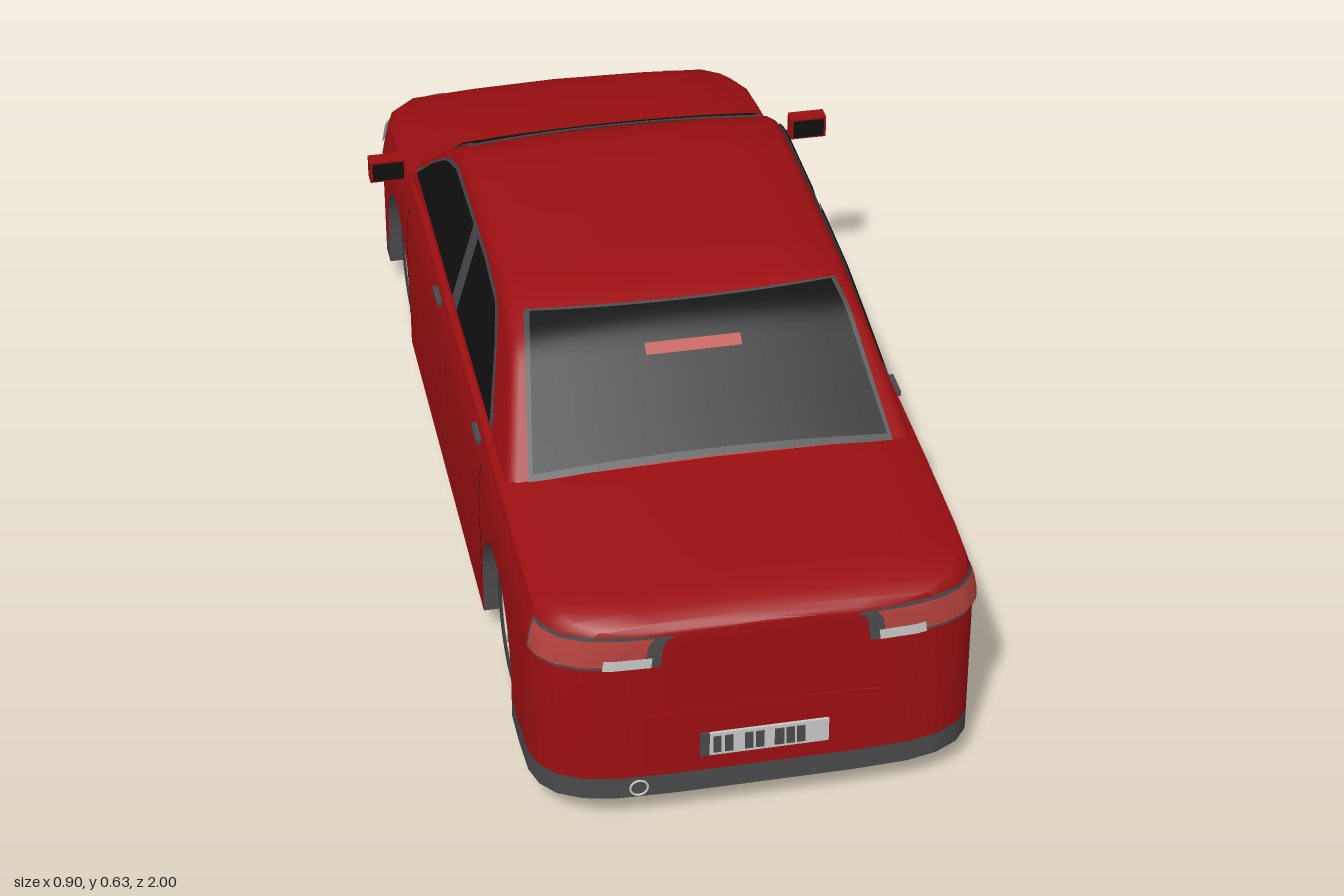
import * as THREE from 'three';
import { toCreasedNormals } from 'three/addons/utils/BufferGeometryUtils.js';

const paint = (name, color, side = THREE.DoubleSide) => {
  const m = new THREE.MeshStandardMaterial({ color, side });
  m.name = name;
  return m;
};

// linear lookup in a table of [position, value] pairs with rising positions
function look(table, t) {
  if (t <= table[0][0]) return table[0][1];
  for (let i = 1; i < table.length; i++) {
    const [a, p] = table[i - 1], [b, q] = table[i];
    if (t <= b) return p + (q - p) * (t - a) / (b - a);
  }
  return table[table.length - 1][1];
}
const lerp = THREE.MathUtils.lerp;

// plan half-width, deck height, shoulder rounding, roof line, side window top line
const WIDTH = [[-0.998, 0.12], [-0.993, 0.2], [-0.982, 0.25], [-0.96, 0.3], [-0.93, 0.335], [-0.88, 0.367], [-0.8, 0.384],
  [0.8, 0.385], [0.88, 0.382], [0.92, 0.37], [0.95, 0.346], [0.972, 0.305], [0.984, 0.25], [0.988, 0.15]];
const DECK = [[-0.998, 0.27], [-0.99, 0.29], [-0.975, 0.318], [-0.93, 0.342], [-0.88, 0.357], [-0.8, 0.375], [-0.7, 0.392],
  [-0.55, 0.412], [-0.4, 0.43], [0.6, 0.435], [0.9, 0.43], [0.95, 0.424], [0.975, 0.414], [0.988, 0.402]];
const SHOULDER = [[0, 0.6], [0.006, 0.9], [0.02, 0.96], [0.05, 0.985], [0.08, 1]];
const ROOF = [[-0.57, 0.4], [-0.45, 0.495], [-0.35, 0.57], [-0.26, 0.613], [-0.15, 0.625], [0, 0.627], [0.2, 0.622],
  [0.28, 0.612], [0.365, 0.588], [0.47, 0.51], [0.6, 0.415]];
const WINDOW = [[-0.465, 0.44], [-0.38, 0.51], [-0.3, 0.562], [-0.22, 0.587], [0.1, 0.59], [0.23, 0.58], [0.3, 0.53], [0.395, 0.44]];

const width = z => look(WIDTH, z), deck = z => look(DECK, z);
const roof = z => (look(ROOF, z - 0.02) + 2 * look(ROOF, z) + look(ROOF, z + 0.02)) / 4;
const cabinSide = y => 0.358 - (y - 0.42) * 0.29;
const FLOOR = 0.063, AXLES = [-0.6, 0.585], HUB = 0.14, ARCH = 0.15;

function archHeight(z) {
  for (const c of AXLES) {
    const d = Math.abs(z - c);
    if (d <= ARCH + 1e-6) return HUB + Math.sqrt(Math.max(0, ARCH * ARCH - d * d));
  }
  return FLOOR;
}

// skins mirrored half-sections; pick(row, z) gives the material index
function loft(zs, half, materials, pick = () => 0) {
  const pos = [], lists = materials.map(() => []);
  const m = half(zs[0]).length, ring = 2 * (m - 1);
  for (const z of zs) {
    const h = half(z);
    h.forEach(([x, y]) => pos.push(x, y, z));
    for (let j = m - 2; j > 0; j--) pos.push(-h[j][0], h[j][1], z);
  }
  const last = (zs.length - 1) * ring;
  for (let i = 0; i < zs.length - 1; i++) for (let j = 0; j < ring; j++) {
    const row = j < m - 1 ? j : ring - 1 - j, k = (j + 1) % ring;
    const a = i * ring + j, b = i * ring + k, c = b + ring, d = a + ring;
    lists[pick(row, (zs[i] + zs[i + 1]) / 2)].push(a, b, d, b, c, d);
  }
  for (let j = 0; j < m - 1; j++) {
    const a = j, b = j + 1, c = (ring - j - 1) % ring, d = (ring - j) % ring;
    lists[pick(j, zs[0])].push(a, d, b, b, d, c);
    lists[pick(j, zs[zs.length - 1])].push(last + a, last + b, last + d, last + b, last + c, last + d);
  }
  const geo = new THREE.BufferGeometry();
  geo.setAttribute('position', new THREE.Float32BufferAttribute(pos, 3));
  geo.setIndex(lists.flat());
  let start = 0;
  lists.forEach((l, i) => { geo.addGroup(start, l.length, i); start += l.length; });
  return new THREE.Mesh(toCreasedNormals(geo, 0.7), materials);
}

// thin sheet whose points follow rule(u, v) -> [x, y, z]
function sheet(rule, mat, nu = 16, nv = 8) {
  const geo = new THREE.PlaneGeometry(1, 1, nu, nv), p = geo.attributes.position;
  for (let i = 0; i < p.count; i++) p.setXYZ(i, ...rule(p.getX(i) + 0.5, p.getY(i) + 0.5));
  geo.computeVertexNormals();
  return new THREE.Mesh(geo, mat);
}

export function createModel() {
  const car = new THREE.Group();
  const red = paint('body red', 0x9c0f12, THREE.FrontSide), grey = paint('trim grey', 0x4a4a4c);
  const black = paint('glass black', 0x101011), tyreMat = paint('tyre grey', 0x3c3c3e);
  const lamp = paint('tail lamp red', 0xb8443e), silver = paint('silver', 0xc8c8c8);
  const add = (mesh, name, parent = car) => { mesh.name = name; parent.add(mesh); return mesh; };
  const box = (w, h, d, x, y, z, mat, name, parent) => {
    const b = add(new THREE.Mesh(new THREE.BoxGeometry(w, h, d), mat), name, parent);
    b.position.set(x, y, z);
    return b;
  };

  // lower body with wheel wells and grey bumper skirts
  const zs = [...WIDTH.map(p => p[0]), ...DECK.map(p => p[0]), -0.44, 0.43];
  for (let i = -18; i <= 18; i++) zs.push(i * 0.05);
  for (const c of AXLES) {
    zs.push(c - ARCH - 0.0005, c + ARCH + 0.0005);
    for (let k = 0; k <= 28; k++) zs.push(c + ARCH * Math.cos(k * Math.PI / 28));
  }
  const stations = [...new Set(zs)].sort((a, b) => a - b);
  const bodyHalf = z => {
    const w = width(z), a = archHeight(z), t = deck(z), inner = Math.min(0.25, w * 0.8);
    const skirt = Math.max(a, 0.105);
    return [[0, FLOOR], [inner, FLOOR], [inner, a], [w, a], [w, skirt], [w, Math.max(skirt, t - 0.08)],
      ...[0.05, 0.02, 0.006, 0].map(d => [w * look(SHOULDER, d), t - d]), [0, t + 0.004]];
  };
  add(loft(stations, bodyHalf, [red, grey], (row, z) =>
    (row < 3 && (z > 0.434 || z < -0.447)) || (row === 3 && (z > 0.73 || z < -0.745)) ? 1 : 0), 'body');

  // cabin and roof
  const cabinZs = Array.from({ length: 61 }, (_, i) => -0.57 + i * 1.17 / 60);
  add(loft(cabinZs, z => {
    const h = roof(z), y = Math.max(0.39, h - 0.035), s = cabinSide(y);
    return [[0, 0.38], [cabinSide(0.38), 0.38], [s, y], [s - 0.007, Math.max(y, h - 0.022)],
      [s - 0.022, h - 0.012], [s * 0.6, h - 0.004], [0, h]];
  }, [red]), 'cabin');

  // windscreen and rear window: a grey frame sheet with glass above it
  const endWindow = (zLow, zHigh, grow, lift, mat, name) => add(sheet((u, v) => {
    const s = 2 * u - 1, dir = Math.sign(zLow);
    const x = s * (lerp(0.312, 0.27, v) + grow);
    const z = lerp(zLow + dir * grow, zHigh - dir * grow, v) - dir * 0.022 * s * s * v;
    return [x, roof(z) - 0.012 * (x / 0.3) ** 2 + lift, z];
  }, mat, 16, 20), name);
  for (const [low, high, name] of [[0.56, 0.325, 'rearWindow'], [-0.525, -0.315, 'windscreen']]) {
    endWindow(low, high, 0.009, 0.005, grey, name + 'Frame');
    endWindow(low, high, 0, 0.008, black, name);
  }
  add(sheet((u, v) => {
    const z = lerp(0.416, 0.398, v);
    return [(u - 0.5) * 0.17, roof(z) + 0.011, z];
  }, lamp, 4, 1), 'highBrakeLamp');

  for (const s of [1, -1]) {
    // side windows
    const sideWindow = (z0, z1, grow, lift, mat, name) => add(sheet((u, v) => {
      const z = lerp(z0, z1, u), y = lerp(0.44 - grow, Math.max(0.44, look(WINDOW, z)) + grow, v);
      return [s * (cabinSide(y) + lift), y, z];
    }, mat, 24, 4), name);
    sideWindow(-0.475, 0.405, 0.006, 0.004, grey, 'sideWindowFrame');
    sideWindow(-0.462, -0.022, 0, 0.007, black, 'frontSideWindow');
    sideWindow(0.027, 0.39, 0, 0.007, black, 'rearSideWindow');

    // sheets that follow the body side
    const skin = (z0, z1, y0, y1, lift, mat, name, nu = 16) => add(sheet((u, v) => {
      const z = lerp(z0, z1, Math.sqrt(u)), t = deck(z);
      const y = lerp(y0, Math.min(y1, t - 0.005), v);
      const ends = Math.abs(z) > 0.85 ? Math.sign(z) * lift : 0;
      return [s * (width(z) * look(SHOULDER, t - y) + lift), y, z + ends];
    }, mat, nu, 6), name);
    skin(0.89, 0.987, 0.338, 0.402, 0.003, grey, 'tailLampBorder');
    skin(0.896, 0.986, 0.345, 0.397, 0.005, lamp, 'tailLamp');
    skin(0.98, 0.9865, 0.34, 0.36, 0.007, silver, 'reverseLamp', 6);
    skin(-0.87, -0.991, 0.274, 0.315, 0.005, silver, 'headlamp');
    skin(0.428, 0.432, 0.14, 0.42, 0.002, black, 'rearDoorGap', 2);
    skin(0.003, 0.006, 0.07, 0.42, 0.002, grey, 'middleDoorGap', 2);
    skin(-0.442, -0.438, 0.14, 0.41, 0.002, black, 'frontDoorGap', 2);
    for (const z of [0.36, -0.09]) box(0.01, 0.01, 0.055, s * 0.378, 0.398, z, grey, 'doorHandle');

    // door mirror with its glass facing backwards
    box(0.07, 0.044, 0.03, s * 0.415, 0.453, -0.475, red, 'mirrorHousing');
    box(0.06, 0.036, 0.004, s * 0.415, 0.453, -0.459, black, 'mirrorGlass');
    box(0.06, 0.01, 0.018, s * 0.365, 0.435, -0.475, red, 'mirrorArm');

    // wheels
    for (const z of AXLES) {
      const wheel = add(new THREE.Group(), 'wheel');
      wheel.position.set(s * 0.318, HUB, z);
      wheel.rotation.y = s * Math.PI / 2;
      const profile = [[0, -0.046], [0.1, -0.046], [0.127, -0.042], [0.137, -0.032], [0.14, -0.015], [0.14, 0.015],
        [0.137, 0.032], [0.127, 0.042], [0.11, 0.046], [0.096, 0.046], [0.088, 0.034]].map(p => new THREE.Vector2(...p));
      const tyre = add(new THREE.Mesh(new THREE.LatheGeometry(profile, 36), tyreMat), 'tyre', wheel);
      tyre.rotation.x = Math.PI / 2;
      const disc = add(new THREE.Mesh(new THREE.CircleGeometry(0.089, 32), grey), 'rimDisc', wheel);
      disc.position.z = 0.034;
      const ring = add(new THREE.Mesh(new THREE.TorusGeometry(0.088, 0.003, 6, 36), silver), 'rimEdge', wheel);
      ring.position.z = 0.04;
      const hub = add(new THREE.Mesh(new THREE.CylinderGeometry(0.016, 0.016, 0.012, 16), silver), 'hub', wheel);
      hub.rotation.x = Math.PI / 2;
      hub.position.z = 0.04;
      for (let k = 0; k < 5; k++) {
        const a = Math.PI / 2 + k * Math.PI * 0.4;
        box(0.076, 0.009, 0.008, Math.cos(a) * 0.05, Math.sin(a) * 0.05, 0.039, silver, 'spoke', wheel).rotation.z = a;
      }
    }
  }

  // raised lower panel at the tail
  const panel = new THREE.Shape([[-0.2, 0.11], [0.2, 0.11], [0.2, 0.232], [0.15, 0.237], [-0.15, 0.237], [-0.2, 0.232]]
    .map(p => new THREE.Vector2(...p)));
  const panelMesh = add(new THREE.Mesh(new THREE.ExtrudeGeometry(panel, { depth: 0.006, bevelEnabled: false }), red), 'tailPanel');
  panelMesh.position.z = 0.984;

  // number plate with plain bars, exhaust ring, front grille
  box(0.204, 0.046, 0.006, 0.008, 0.163, 0.992, silver, 'plate');
  box(0.016, 0.046, 0.006, -0.102, 0.163, 0.992, grey, 'plateEdge');
  for (const [x, w] of [[-0.081, 0.013], [-0.061, 0.014], [-0.027, 0.014], [-0.008, 0.014], [0.025, 0.016], [0.044, 0.014], [0.062, 0.014]])
    box(w, 0.033, 0.003, x, 0.163, 0.996, grey, 'plateBar');
  const exhaust = add(new THREE.Mesh(new THREE.TorusGeometry(0.015, 0.002, 6, 24), silver), 'exhaustRing');
  exhaust.position.set(-0.213, 0.086, 0.991);
  box(0.35, 0.034, 0.012, 0, 0.247, -0.994, grey, 'grille');
  return car;
}
